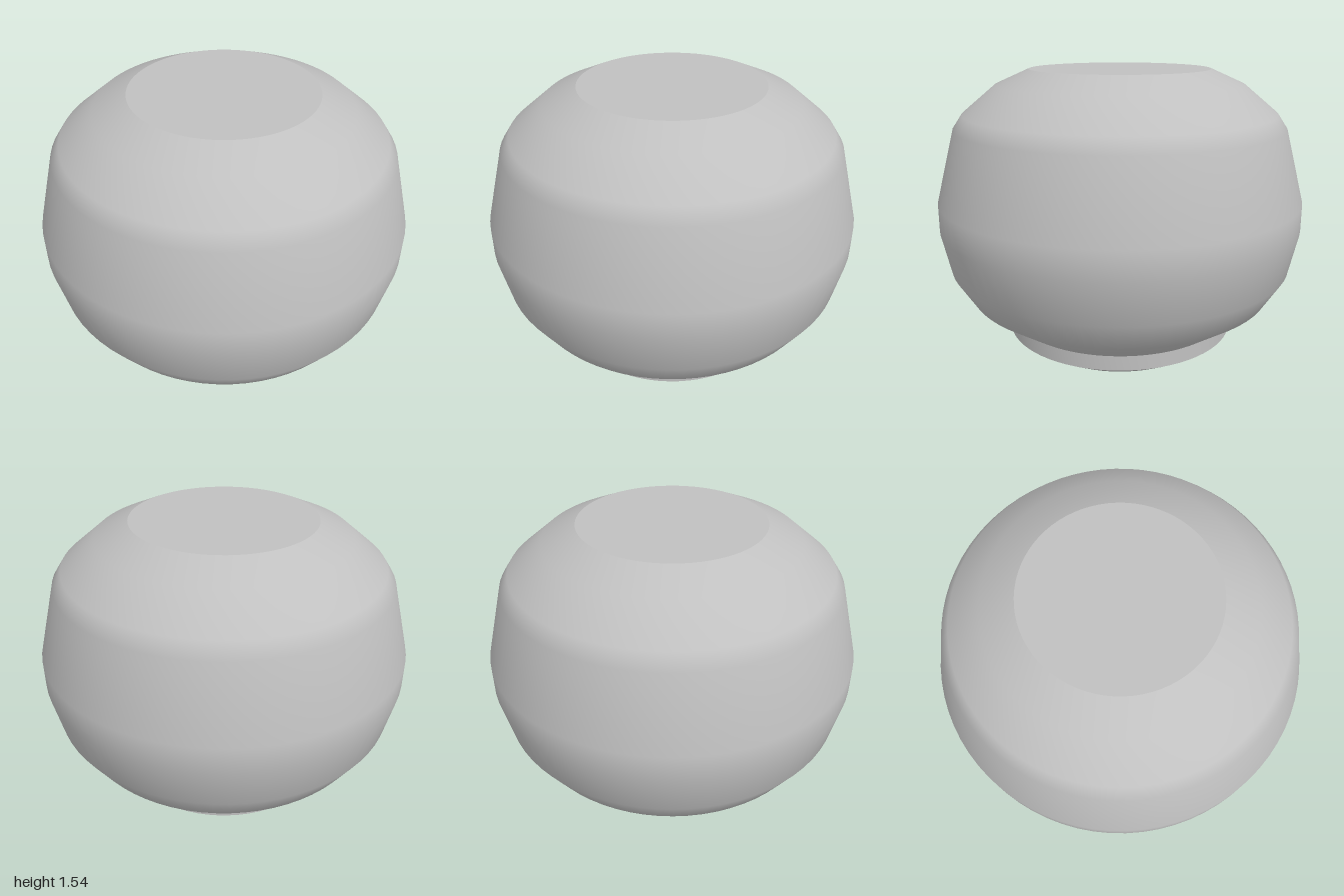
import * as THREE from 'three';
import { toCreasedNormals } from 'three/addons/utils/BufferGeometryUtils.js';

const SEGMENTS = 72;

export function createModel() {
  const group = new THREE.Group();
  const clay = new THREE.MeshStandardMaterial({ color: 0xc0c0c0 });
  clay.name = 'grey clay';

  const add = (name, geometry) => {
    const mesh = new THREE.Mesh(geometry, clay);
    mesh.name = name;
    group.add(mesh);
    return mesh;
  };
  const lathe = (profile) =>
    new THREE.LatheGeometry(profile.map(([r, y]) => new THREE.Vector2(r, y)), SEGMENTS);
  const disc = (name, radius, y, facing) => {
    const mesh = add(name, new THREE.CircleGeometry(radius, SEGMENTS).rotateX(-facing * Math.PI / 2));
    mesh.position.y = y;
  };

  // Rounded, smoothly shaded bowl
  add('bowl', lathe([
    [0.64, 0.16], [0.85, 0.31], [0.95, 0.47], [1, 0.7], [1, 0.85],
    [0.9, 1.235], [0.85, 1.31], [0.67, 1.46], [0.49, 1.54],
  ]));
  disc('flatTop', 0.49, 1.54, 1);

  // Foot ring with a crisp bevel
  add('foot', toCreasedNormals(lathe([[0.51, 0], [0.64, 0.08], [0.64, 0.16]]), 0.5));
  disc('footBase', 0.51, 0, -1);

  return group;
}
